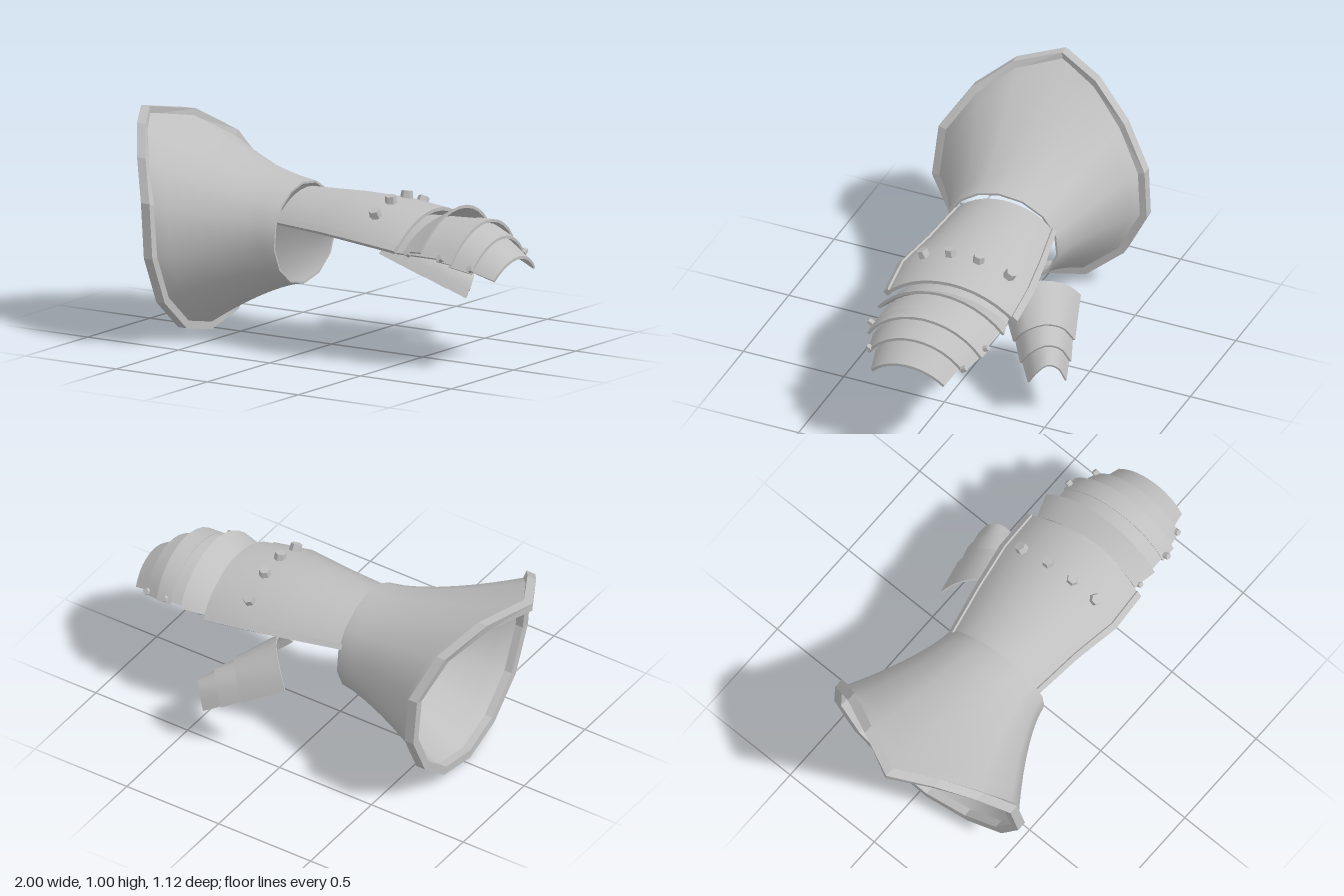
import * as THREE from 'three';
import { mergeGeometries } from 'three/addons/utils/BufferGeometryUtils.js';

const V = (x, y, z) => new THREE.Vector3(x, y, z);

// Smooth surface through rows of points
function grid(rows, closed = false, flip = false) {
  const n = rows[0].length, pos = [], idx = [];
  rows.forEach(row => row.forEach(p => pos.push(p.x, p.y, p.z)));
  for (let r = 0; r < rows.length - 1; r++) {
    for (let c = 0; c < (closed ? n : n - 1); c++) {
      const d = (c + 1) % n;
      const a = r * n + c, b = r * n + d, e = a + n, f = b + n;
      if (flip) idx.push(a, b, e, b, f, e);
      else idx.push(a, e, b, b, e, f);
    }
  }
  const g = new THREE.BufferGeometry();
  g.setAttribute('position', new THREE.Float32BufferAttribute(pos, 3));
  g.setIndex(idx);
  g.computeVertexNormals();
  return g;
}

// Plate with thickness: outer face, inner face and crisp edge walls
function shell(outer, inner, closed = false) {
  const last = outer.length - 1, parts = [
    grid(outer, closed), grid(inner, closed, true),
    grid([outer[0], inner[0]], closed, true), grid([outer[last], inner[last]], closed),
  ];
  if (!closed) {
    const side = c => [outer.map(r => r[c]), inner.map(r => r[c])];
    const n = outer[0].length - 1;
    parts.push(grid(side(0)), grid(side(n), false, true));
  }
  return mergeGeometries(parts);
}

function faceted(g) {
  const f = g.toNonIndexed();
  f.computeVertexNormals();
  return f;
}

// Circular arch section: s = [x, centre z, half width, edge y, crown y]; u runs -1..1 from +z to -z
function arch([x, zc, w, yEdge, yTop], u, off = 0) {
  const h = yTop - yEdge, R = (w * w + h * h) / (2 * h);
  const a = Math.asin(Math.min(1, w / R)) * u;
  const z = zc - Math.sin(a) * (R + off);
  return V(x + 0.05 * (z - zc) - 0.02 * u * u, yTop - R + Math.cos(a) * (R + off), z);
}
function archRows(sections, off, u0 = -1, u1 = 1, n = 12) {
  return sections.map(s => Array.from({ length: n + 1 }, (_, i) => arch(s, u0 + (u1 - u0) * i / n, off)));
}

export function createModel() {
  const root = new THREE.Group();
  const steel = new THREE.MeshStandardMaterial({ color: 0xbfbfbf, side: THREE.DoubleSide });
  steel.name = 'steel grey';
  const add = (name, geo) => {
    const m = new THREE.Mesh(geo, steel);
    m.name = name;
    root.add(m);
    return m;
  };

  // Flared cuff: 14-sided mouth, swept back to a point at the top
  const mouth = [
    [-0.975, 1.005, 0.07], [-0.865, 0.97, 0.265], [-0.755, 0.85, 0.425], [-0.655, 0.67, 0.54],
    [-0.625, 0.42, 0.56], [-0.625, 0.2, 0.46], [-0.635, 0.05, 0.27], [-0.655, 0.003, 0.04],
    [-0.665, 0.055, -0.19], [-0.68, 0.21, -0.37], [-0.69, 0.43, -0.48], [-0.7, 0.66, -0.465],
    [-0.765, 0.85, -0.335], [-0.87, 0.97, -0.145],
  ].map(p => V(...p));
  const ring = (k, dx) => mouth.map(p => V(p.x + dx, 0.505 + (p.y - 0.505) * k, 0.035 + (p.z - 0.035) * k));
  const wrist = mouth.map(p => {
    const a = Math.atan2(p.y - 0.5, p.z - 0.035);
    const z = 0.003 + 0.275 * Math.cos(a);
    return V(-0.145 + 0.055 * z, 0.506 + 0.237 * Math.sin(a), z);
  });
  const flareEnd = ring(0.945, 0.01);
  const outer = [];
  for (let i = 0; i <= 8; i++) {
    const u = i / 8, f = Math.pow(u, 1.4);
    outer.push(wrist.map((p, j) => {
      const q = flareEnd[j];
      return V(p.x + (q.x - p.x) * u, p.y + (q.y - p.y) * f, p.z + (q.z - p.z) * f);
    }));
  }
  const inner = outer.map(row => row.map(p => {
    const d = V(0, 0.505 - p.y, 0.02 - p.z).normalize();
    return p.clone().addScaledVector(d, 0.01);
  }));
  add('cuff', shell(outer, inner, true));
  const section = [ring(1, 0.022), ring(1, -0.025), ring(0.92, -0.025), ring(0.92, 0.022), ring(1, 0.022)];
  add('cuffRim', faceted(grid(section, true)));

  // Arched plates over the hand and fingers
  const plate = (name, sections, t = 0.013) =>
    add(name, shell(archRows(sections, 0), archRows(sections, -t)));
  const hand = [
    [-0.14, -0.005, 0.245, 0.59, 0.715], [0.12, -0.022, 0.286, 0.58, 0.72],
    [0.34, -0.025, 0.325, 0.57, 0.715], [0.54, -0.04, 0.32, 0.543, 0.69],
  ];
  plate('handPlate', hand, 0.016);
  for (const s of [-1, 1]) {
    const rows = off => archRows(hand, off, s > 0 ? 0.91 : -1, s > 0 ? 1 : -0.91, 1);
    add('handPlateBorder', shell(rows(0.009), rows(-0.018)));
  }
  plate('underKnucklePlate', [[0.49, -0.04, 0.275, 0.53, 0.65], [0.76, -0.04, 0.275, 0.528, 0.665]]);
  plate('knuckleRidge', [[0.56, -0.045, 0.28, 0.54, 0.65], [0.668, -0.05, 0.31, 0.553, 0.715]], 0.014);
  plate('fingerPlate1', [[0.745, -0.04, 0.284, 0.52, 0.668], [0.825, -0.04, 0.28, 0.51, 0.67]]);
  plate('fingerPlate2', [[0.8, -0.04, 0.262, 0.495, 0.65], [0.91, -0.035, 0.235, 0.472, 0.605]]);
  plate('fingerPlate3', [[0.89, -0.035, 0.205, 0.475, 0.595], [1.0, -0.035, 0.18, 0.44, 0.522]]);

  // Six-sided rivets standing on the plates
  const up = V(0, 1, 0);
  function rivet(name, p, normal, r, h) {
    const m = add(name, faceted(new THREE.CylinderGeometry(r * 0.9, r, h, 6)));
    m.position.copy(p);
    m.quaternion.setFromUnitVectors(up, normal.normalize());
  }
  const [, zc, w, ye, yt] = hand[2];
  const hh = yt - ye, R = (w * w + hh * hh) / (2 * hh);
  [[0.33, -0.245], [0.343, -0.1], [0.35, 0.035], [0.355, 0.165]].forEach(([x, z]) => {
    const n = V(0, Math.sqrt(R * R - (z - zc) ** 2), z - zc).normalize();
    rivet('handRivet', V(x, yt - R, zc).addScaledVector(n, R + 0.012), n, 0.029, 0.036);
  });
  [[0.57, 0.535, 0.275], [0.755, 0.535, 0.282], [0.885, 0.49, 0.232]].forEach(([x, y, half]) => {
    for (const s of [-1, 1]) {
      rivet('fingerRivet', V(x + 0.01 * s, y, -0.037 + s * half), V(0, 0.6, s), 0.016, 0.026);
    }
  });

  // Thumb: three overlapping plates tapering between two arches
  const curve = pts => new THREE.CatmullRomCurve3(pts.map(p => V(...p))).getPoints(10);
  const base = curve([[0.17, 0.42, -0.13], [0.19, 0.5, -0.2], [0.14, 0.535, -0.32], [0.06, 0.49, -0.41], [0, 0.41, -0.455]]);
  const tip = curve([[0.465, 0.2, -0.4], [0.47, 0.27, -0.445], [0.45, 0.31, -0.49], [0.42, 0.29, -0.53], [0.38, 0.2, -0.555]]);
  const thumbRow = (t, k) => {
    const row = base.map((p, i) => p.clone().lerp(tip[i], t));
    const mid = row[0].clone().add(row[10]).multiplyScalar(0.5);
    return row.map(p => p.sub(mid).multiplyScalar(k).add(mid));
  };
  [[0, 0.53, 1, 1.06], [0.48, 0.78, 0.97, 1.07], [0.73, 1, 0.97, 1]].forEach(([t0, t1, k0, k1], i) => {
    add('thumbPlate' + (i + 1), shell(
      [thumbRow(t0, k0), thumbRow(t1, k1)],
      [thumbRow(t0, k0 - 0.06), thumbRow(t1, k1 - 0.09)],
    ));
  });

  return root;
}
